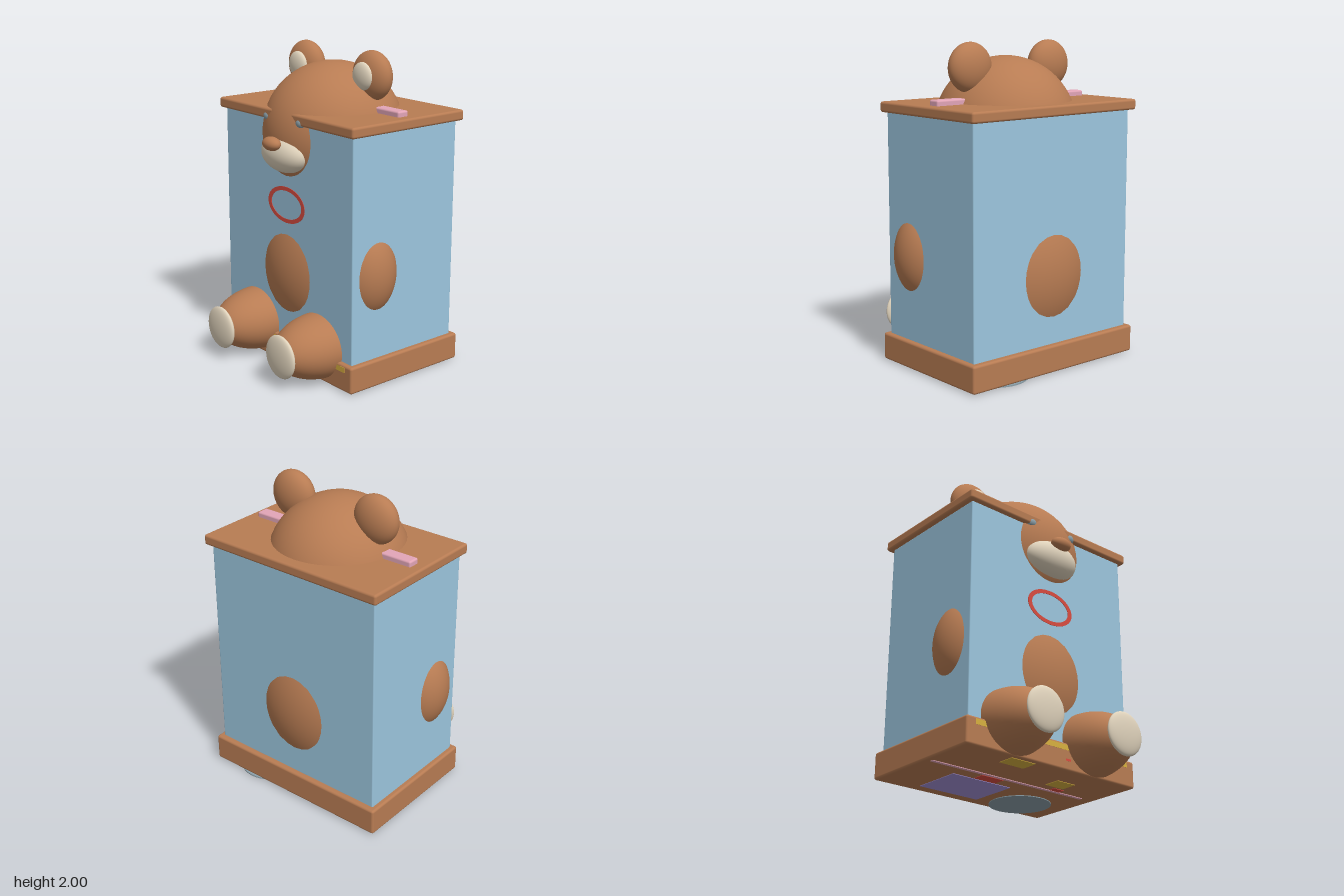
import * as THREE from 'three';
import { RoundedBoxGeometry } from 'three/addons/geometries/RoundedBoxGeometry.js';

const mat = (name, color) => {
  const m = new THREE.MeshStandardMaterial({ color });
  m.name = name;
  return m;
};

export function createModel() {
  const model = new THREE.Group();
  model.name = 'bearInBox';
  const brown = mat('brown', 0xb87c53);
  const blue = mat('paleBlue', 0x9cc6de);
  const cream = mat('cream', 0xe0d3bc);
  const pink = mat('pink', 0xe2a5b7);
  const red = mat('red', 0xd94c40);
  const gold = mat('gold', 0xd8b040);
  const slate = mat('slate', 0x8b9fa8);
  const violet = mat('violet', 0xa390d6);

  const add = (name, geometry, material, x, y, z) => {
    const mesh = new THREE.Mesh(geometry, material);
    mesh.name = name;
    mesh.position.set(x, y, z);
    model.add(mesh);
    return mesh;
  };
  const ball = (name, material, [x, y, z], [rx, ry, rz]) =>
    add(name, new THREE.SphereGeometry(1, 48, 32).scale(rx, ry, rz), material, x, y, z);
  // Box given by its lower and upper corners
  const box = (name, material, a, b, radius = 0) => {
    const size = b.map((v, i) => v - a[i]);
    const geometry = radius
      ? new RoundedBoxGeometry(...size, 3, radius)
      : new THREE.BoxGeometry(...size);
    return add(name, geometry, material, ...a.map((v, i) => (v + b[i]) / 2));
  };
  // Thin plate under the base, given by its x and z ranges
  const plate = (name, material, x0, x1, z0, z1, y = 0.003) =>
    box(name, material, [x0, y, z0], [x1, y + 0.007, z1]);

  // Display box
  box('base', brown, [-0.657, 0.006, -0.592], [0.657, 0.177, 0.307], 0.015);
  box('case', blue, [-0.625, 0.17, -0.555], [0.625, 1.575, 0.275], 0.008);
  box('lid', brown, [-0.657, 1.57, -0.592], [0.657, 1.636, 0.307], 0.015);
  box('lidBar', pink, [-0.59, 1.62, -0.185], [0.59, 1.67, -0.105], 0.012);

  // Trim on the front of the base
  box('goldStrip', gold, [-0.595, 0.13, 0.302], [0.595, 0.164, 0.3085]);
  box('redMark', red, [0.083, 0.065, 0.302], [0.121, 0.078, 0.3085]);

  // Body and head, pushing through the case
  ball('body', brown, [0, 0.6, -0.14], [0.51, 0.565, 0.465]);
  ball('head', brown, [0, 1.47, -0.102], [0.44, 0.44, 0.45]);
  ball('muzzle', cream, [0, 1.375, 0.28], [0.198, 0.12, 0.11]);
  ball('nose', brown, [0, 1.448, 0.385], [0.072, 0.043, 0.047]);

  // Paired parts
  for (const s of [1, -1]) {
    const side = s > 0 ? 'left' : 'right';
    ball(side + 'Ear', brown, [s * 0.315, 1.848, -0.145], [0.152, 0.152, 0.09]);
    ball(side + 'InnerEar', cream, [s * 0.31, 1.85, -0.07], [0.085, 0.085, 0.036]);
    ball(side + 'Eye', slate, [s * 0.16, 1.585, 0.281], [0.04, 0.034, 0.032]);
    ball(side + 'Arm', brown, [s * 0.5, 0.7, 0.07], [0.19, 0.28, 0.2]);
    ball(side + 'Leg', brown, [s * 0.312, 0.213, 0.25], [0.225, 0.203, 0.345]);
    ball(side + 'FootPad', cream, [s * 0.312, 0.213, 0.571], [0.137, 0.137, 0.035]);
  }

  // Collar ring on the front of the case
  const ring = new THREE.Shape();
  ring.absellipse(0, 0, 0.181, 0.115, 0, Math.PI * 2);
  const hole = new THREE.Path();
  hole.absellipse(0, 0, 0.15, 0.09, 0, Math.PI * 2);
  ring.holes.push(hole);
  add('collar', new THREE.ExtrudeGeometry(ring, { depth: 0.008, bevelEnabled: false, curveSegments: 40 }),
    red, 0, 1.045, 0.27);

  // Thin plates under the base
  add('underDisc', new THREE.CylinderGeometry(0.2, 0.2, 0.008, 40), slate, 0.34, 0.005, -0.405);
  plate('underPanel', violet, -0.38, 0.06, -0.5, -0.17);
  plate('underBar', pink, -0.62, 0.55, -0.072, -0.048, 0.002);
  plate('underRedPatchRight', red, -0.23, -0.07, -0.16, -0.08);
  plate('underRedPatchLeft', red, 0.27, 0.35, -0.045, 0);
  plate('underGoldPatchLeft', gold, 0.18, 0.32, 0.02, 0.13);
  plate('underGoldPatchRight', gold, -0.31, -0.13, 0.17, 0.28);

  return model;
}
